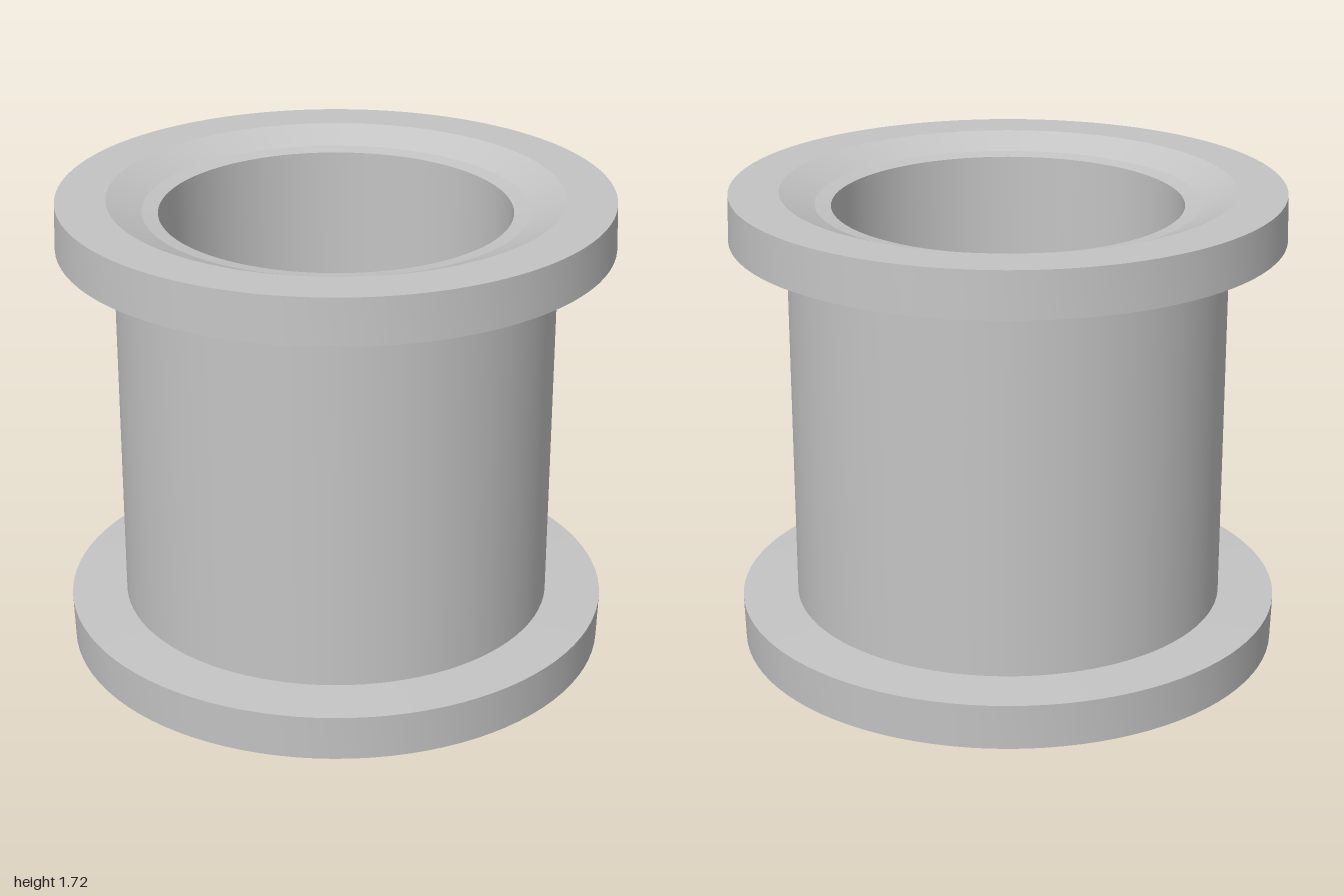
import * as THREE from 'three';
import { toCreasedNormals } from 'three/addons/utils/BufferGeometryUtils.js';

const HEIGHT = 1.72;
const SEGMENTS = 96;

export function createModel() {
  const group = new THREE.Group();
  const metal = new THREE.MeshStandardMaterial({ color: 0xc4c4c4 });

  // Revolves a profile of [radius, y] pairs, keeping its edges sharp
  const addTurned = (name, profile) => {
    const points = profile.map(([r, y]) => new THREE.Vector2(r, y));
    const geometry = toCreasedNormals(new THREE.LatheGeometry(points, SEGMENTS), 0.12);
    const mesh = new THREE.Mesh(geometry, metal);
    mesh.name = name;
    group.add(mesh);
  };

  // Flange: shoulder, slightly tapered rim, flat face, dished recess, inner lip
  const flange = [
    [0.795, 1.545], [1.0, 1.552], [0.995, HEIGHT],
    [0.815, HEIGHT], [0.69, 1.67], [0.632, 1.662],
  ];
  const mirrored = flange.map(([r, y]) => [r, HEIGHT - y]).reverse();
  addTurned('topFlange', flange);
  addTurned('bottomFlange', mirrored);

  // Barrel outside, and the through bore facing inward
  addTurned('barrel', [[0.795, 0.175], [0.795, 1.545]]);
  addTurned('bore', [[0.632, 1.662], [0.632, 0.058]]);

  return group;
}
